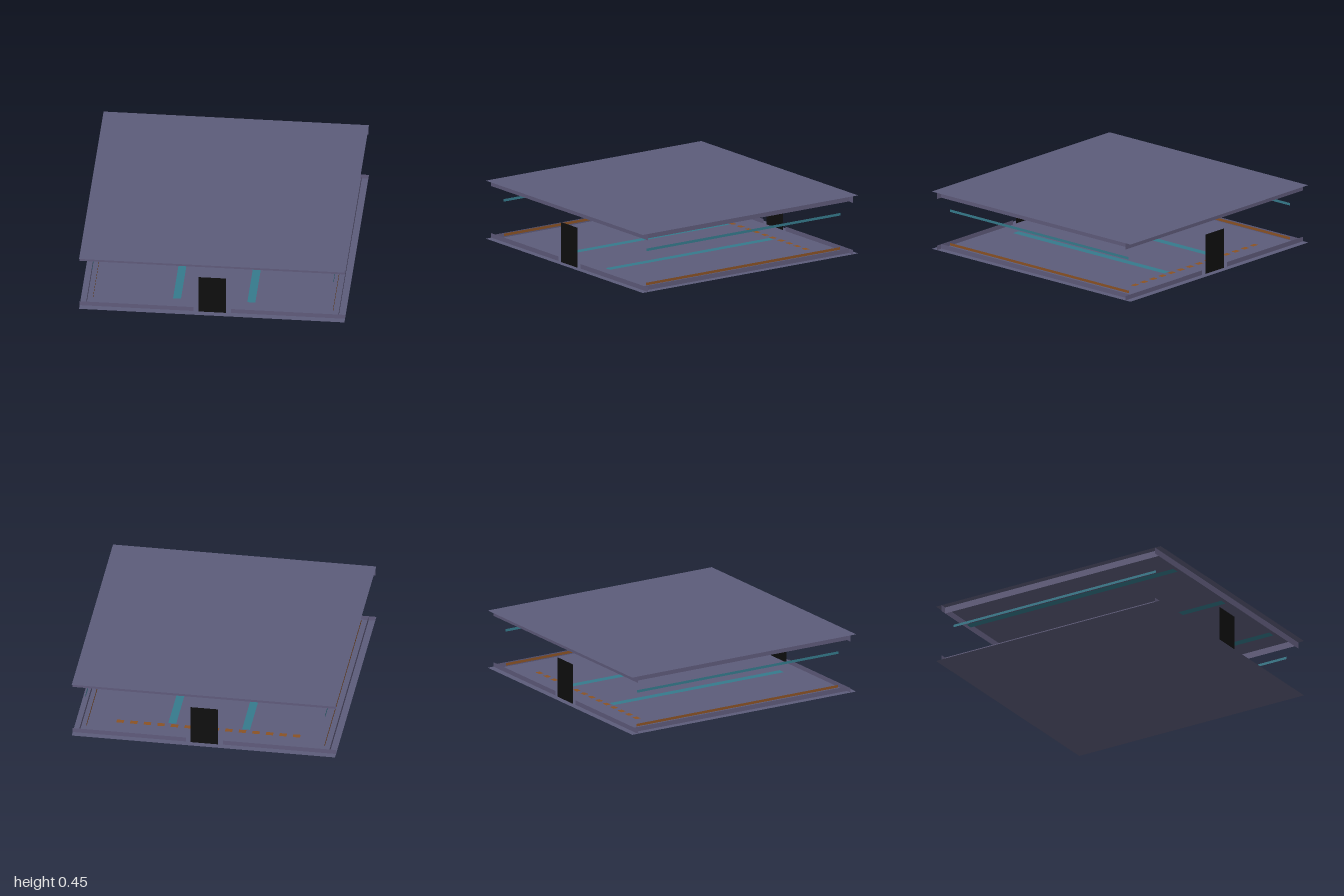
import * as THREE from 'three';

export function createModel() {
  const model = new THREE.Group();
  const mat = (name, color) => new THREE.MeshStandardMaterial({ name, color, side: THREE.DoubleSide });
  const panel = mat('slatePanel', 0x5c5c7a);
  const trim = mat('purpleTrim', 0x5f5b7b);
  const teal = mat('tealLight', 0x357a8c);
  const amber = mat('amberMarker', 0x8a5224);
  const black = mat('blackDoor', 0x0e0e0e);

  // thin sheet; facing is 'up', 'down', 'x' or 'z', with the sign of dir for x and z
  function sheet(name, material, w, h, x, y, z, facing, dir = 1) {
    const mesh = new THREE.Mesh(new THREE.PlaneGeometry(w, h), material);
    mesh.name = name;
    mesh.position.set(x, y, z);
    if (facing === 'up') mesh.rotation.x = -Math.PI / 2;
    if (facing === 'down') mesh.rotation.x = Math.PI / 2;
    if (facing === 'x') mesh.rotation.y = dir * Math.PI / 2;
    if (facing === 'z' && dir < 0) mesh.rotation.y = Math.PI;
    model.add(mesh);
  }

  // floor and ceiling
  sheet('floor', panel, 2, 2, 0, 0, 0, 'up');
  sheet('ceiling', panel, 2, 2, 0, 0.45, 0, 'up');

  for (const s of [-1, 1]) {
    // front and back ends: upper trim, split baseboard and door
    sheet('endCeilingTrim', trim, 2, 0.05, 0, 0.425, s * 0.95, 'z', s);
    for (const t of [-1, 1])
      sheet('endBaseboard', trim, 0.86, 0.035, t * 0.57, 0.0175, s * 0.95, 'z', s);
    sheet('door', black, 0.21, 0.31, 0, 0.155, s * 0.953, 'z', s);

    // long sides: trims, hanging light rail and amber strip
    sheet('sideCeilingTrim', trim, 1.9, 0.05, s * 0.95, 0.425, 0, 'x', s);
    sheet('sideBaseboard', trim, 1.9, 0.035, s * 0.95, 0.0175, 0, 'x', s);
    sheet('lightRail', teal, 1.8, 0.02, s * 0.91, 0.3, 0, 'x', s);
    sheet('amberStrip', amber, 1.8, 0.02, s * 0.905, 0.034, 0, 'x', s);

    // floor guide strips
    sheet('floorGuide', teal, 0.06, 1.52, s * 0.28, 0.004, 0.04, 'up');
  }

  // ceiling light strips
  for (const x of [-0.67, 0, 0.67])
    sheet('ceilingLight', teal, 0.06, 1.84, x, 0.399, 0, 'down');

  // dashed marker line across the back of the floor
  for (let i = 0; i < 14; i++)
    sheet('floorDash', amber, 0.055, 0.04, -0.67 + i * 1.34 / 13, 0.004, -0.75, 'up');

  return model;
}
